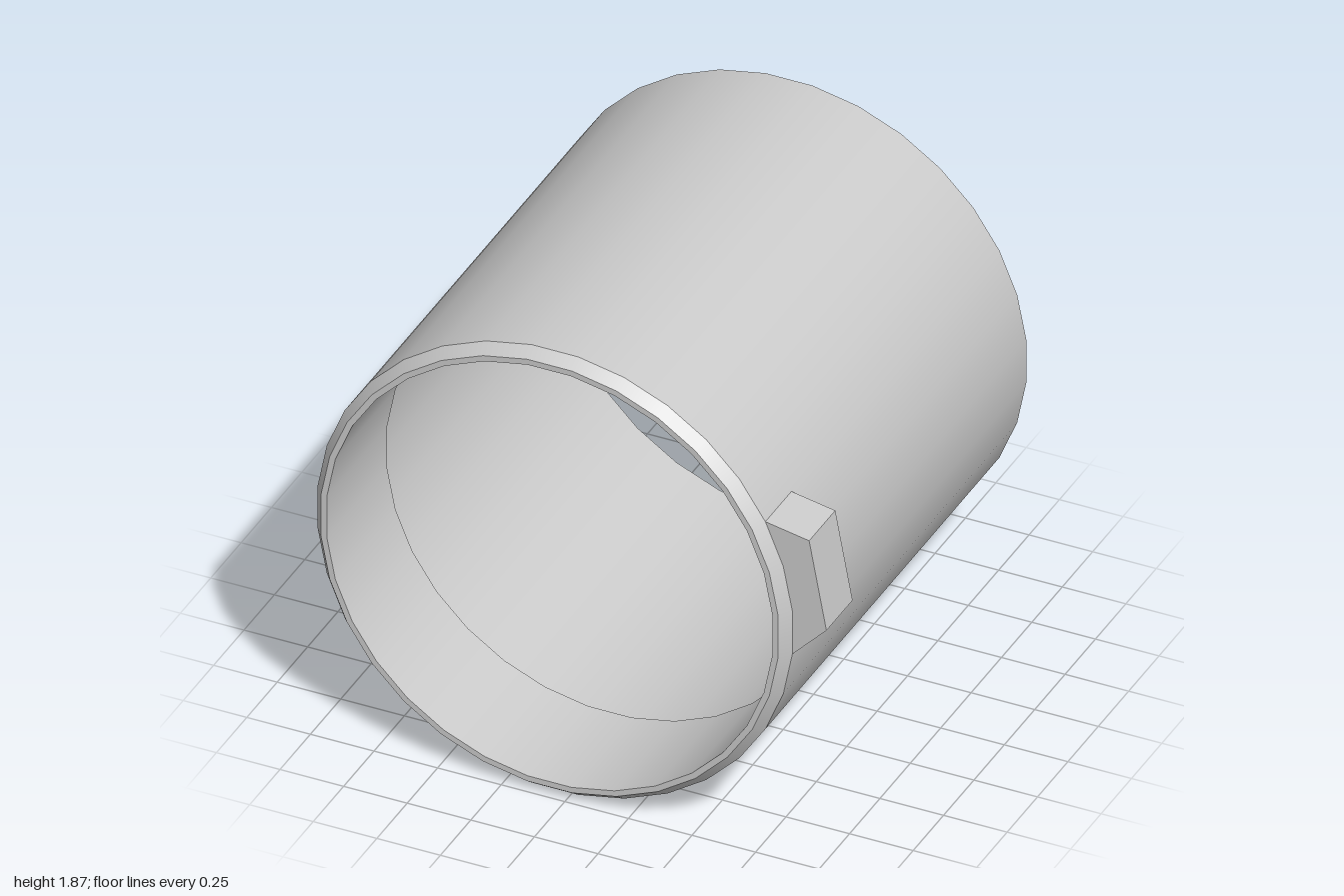
import * as THREE from 'three';

const SIDES = 32;
const RADIUS = 0.9375;
const CENTRE = { x: -0.067, y: 0.933 };

const material = new THREE.MeshStandardMaterial({ color: 0xcccccc, side: THREE.DoubleSide });

// One ring-shaped surface around the z axis between two (radius, z) points;
// separate bands keep the edges between them sharp.
function band(name, r0, z0, r1, z1) {
  const profile = [new THREE.Vector2(r0, z0), new THREE.Vector2(r1, z1)];
  const geometry = new THREE.LatheGeometry(profile, SIDES, Math.PI / SIDES);
  geometry.rotateX(Math.PI / 2);
  const mesh = new THREE.Mesh(geometry, material);
  mesh.name = name;
  mesh.position.set(CENTRE.x, CENTRE.y, 0);
  return mesh;
}

// Corner of the tube's polygon, counted from the flat right side upward
function tubeCorner(i) {
  const a = ((i + 0.5) * 2 * Math.PI) / SIDES;
  return new THREE.Vector2(CENTRE.x + RADIUS * Math.cos(a), CENTRE.y + RADIUS * Math.sin(a));
}

export function createModel() {
  const group = new THREE.Group();
  group.name = 'tube';

  // Thin tube, open at the back, with a chamfered front lip and inner sleeve
  group.add(
    band('outerWall', RADIUS, -0.985, RADIUS, 0.94),
    band('frontChamfer', RADIUS, 0.94, 0.903, 0.985),
    band('frontLip', 0.903, 0.985, 0.88, 0.985),
    band('innerSleeve', 0.88, 0.985, 0.88, 0.49)
  );

  // Wedge-shaped tab on the side, its inner edge following the tube wall
  const outline = new THREE.Shape([
    tubeCorner(-1),
    new THREE.Vector2(1, 0.98),
    new THREE.Vector2(0.932, 1.343),
    tubeCorner(2),
    tubeCorner(1),
    tubeCorner(0),
  ]);
  const tab = new THREE.Mesh(
    new THREE.ExtrudeGeometry(outline, { depth: 0.215, bevelEnabled: false }),
    material
  );
  tab.name = 'sideTab';
  tab.position.z = 0.725;
  group.add(tab);

  return group;
}
